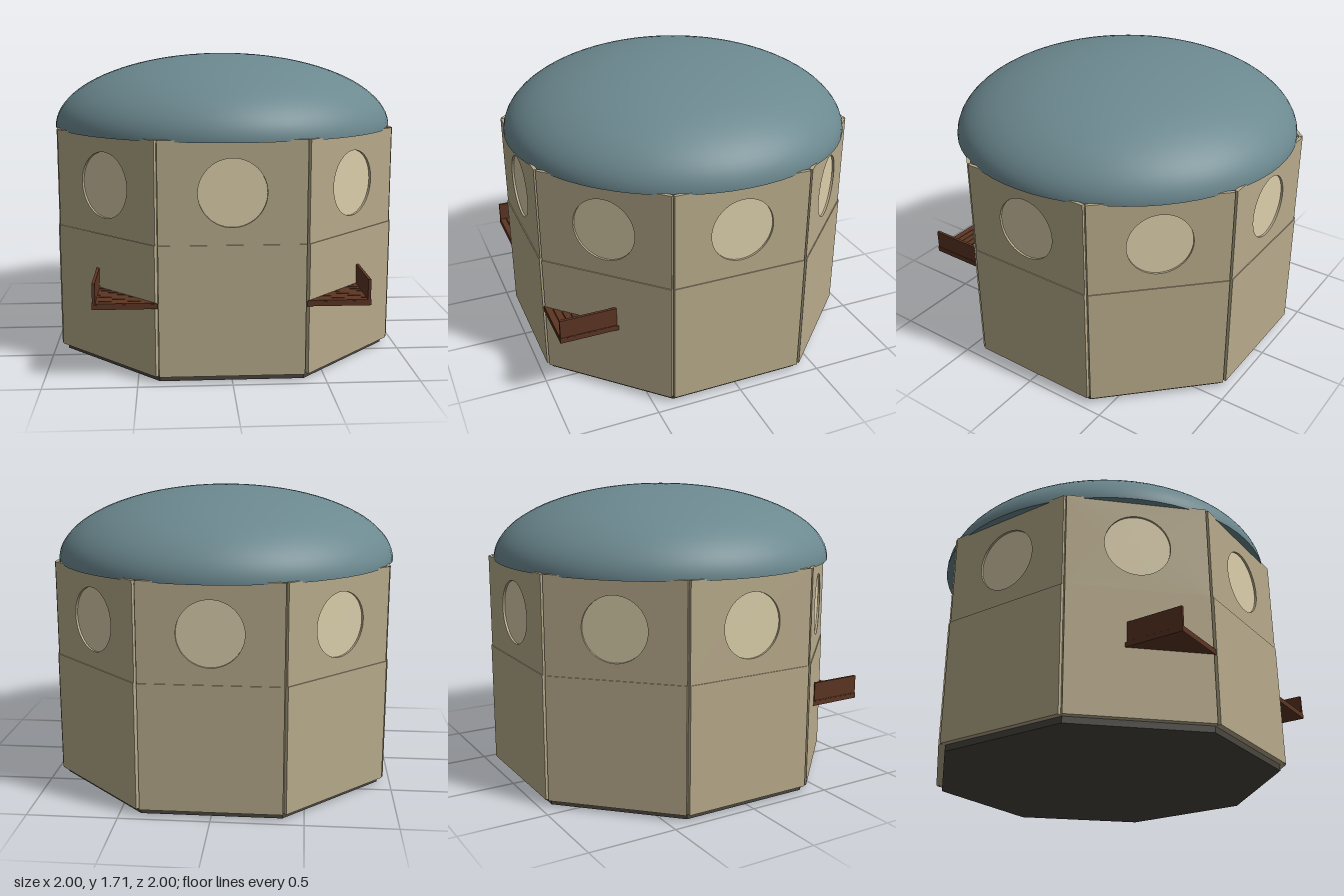
import * as THREE from 'three';

const material = (name, color) => {
  const m = new THREE.MeshStandardMaterial({ color });
  m.name = name;
  return m;
};

export function createModel() {
  const wall = material('sandstone', 0xb8ab8b);
  const glass = material('pale window', 0xdbcfab);
  const roof = material('slate blue', 0x6c8990);
  const wood = material('dark wood', 0x5c3523);
  const stone = material('charcoal', 0x4a463f);

  const group = new THREE.Group();
  group.name = 'octagonalHouse';
  const add = (parent, name, geometry, mat) => {
    const mesh = new THREE.Mesh(geometry, mat);
    mesh.name = name;
    parent.add(mesh);
    return mesh;
  };

  // Flat-sided octagonal block, measured to the middle of its faces
  const octagon = (apothem, y0, y1) => {
    const r = apothem / Math.cos(Math.PI / 8);
    const g = new THREE.CylinderGeometry(r, r, y1 - y0, 8, 1, false, Math.PI / 8)
      .translate(0, (y0 + y1) / 2, 0).toNonIndexed();
    g.computeVertexNormals();
    return g;
  };
  add(group, 'foundation', octagon(0.925, 0, 0.04), stone);
  add(group, 'core', octagon(0.94, 0.035, 1.275), wall);

  // Upper wall panel with a round opening
  const panelShape = new THREE.Shape([
    new THREE.Vector2(-0.387, 0.745), new THREE.Vector2(0.387, 0.745),
    new THREE.Vector2(0.387, 1.29), new THREE.Vector2(-0.387, 1.29),
  ]);
  panelShape.holes.push(new THREE.Path().absarc(0, 1.017, 0.18, 0, Math.PI * 2, true));
  const upperGeometry = new THREE.ExtrudeGeometry(panelShape, { depth: 0.02, bevelEnabled: false, curveSegments: 24 })
    .translate(0, 0, 0.935);
  const lowerGeometry = new THREE.BoxGeometry(0.774, 0.71, 0.025).translate(0, 0.39, 0.9475);
  const windowGeometry = new THREE.CircleGeometry(0.182, 48).translate(0, 1.017, 0.943);

  // Eight identical sides
  for (let i = 0; i < 8; i++) {
    const side = new THREE.Group();
    side.name = 'wallSide';
    side.rotation.y = i * Math.PI / 4;
    add(side, 'upperPanel', upperGeometry, wall);
    add(side, 'lowerPanel', lowerGeometry, wall);
    add(side, 'window', windowGeometry, glass);
    group.add(side);
  }

  // Shallow dome, closed underneath
  const dome = new THREE.SphereGeometry(1, 64, 24, 0, Math.PI * 2, 0, Math.PI / 2);
  add(group, 'dome', dome.scale(1, 0.425, 1).translate(0, 1.28, 0), roof);
  add(group, 'domeUnderside', new THREE.CircleGeometry(1, 64).rotateX(Math.PI / 2).translate(0, 1.28, 0), roof);

  // Corner balconies on the two front diagonals
  const flatPiece = (points, yTop, thickness) => new THREE.ExtrudeGeometry(
    new THREE.Shape(points.map(([x, z]) => new THREE.Vector2(x, z))),
    { depth: thickness, bevelEnabled: false },
  ).rotateX(Math.PI / 2).translate(0, yTop, 0);

  for (const s of [1, -1]) {
    const balcony = new THREE.Group();
    balcony.name = s > 0 ? 'leftBalcony' : 'rightBalcony';
    add(balcony, 'deck', flatPiece([[s * 0.39, 0.957], [s * 0.733, 0.957], [s * 0.733, 0.625]], 0.436, 0.026), wood);
    // Planks shorten along the diagonal wall
    const step = 0.04;
    for (let z = 0.64; z < 0.95; z += step) {
      const z1 = Math.min(z + step - 0.004, 0.957);
      add(balcony, 'plank', flatPiece([
        [s * (1.352 - z), z], [s * 0.733, z], [s * 0.733, z1], [s * (1.352 - z1), z1],
      ], 0.442, 0.008), wood);
    }
    add(balcony, 'parapet', new THREE.BoxGeometry(0.016, 0.112, 0.32).translate(s * 0.722, 0.494, 0.795), wood);
    group.add(balcony);
  }
  return group;
}
